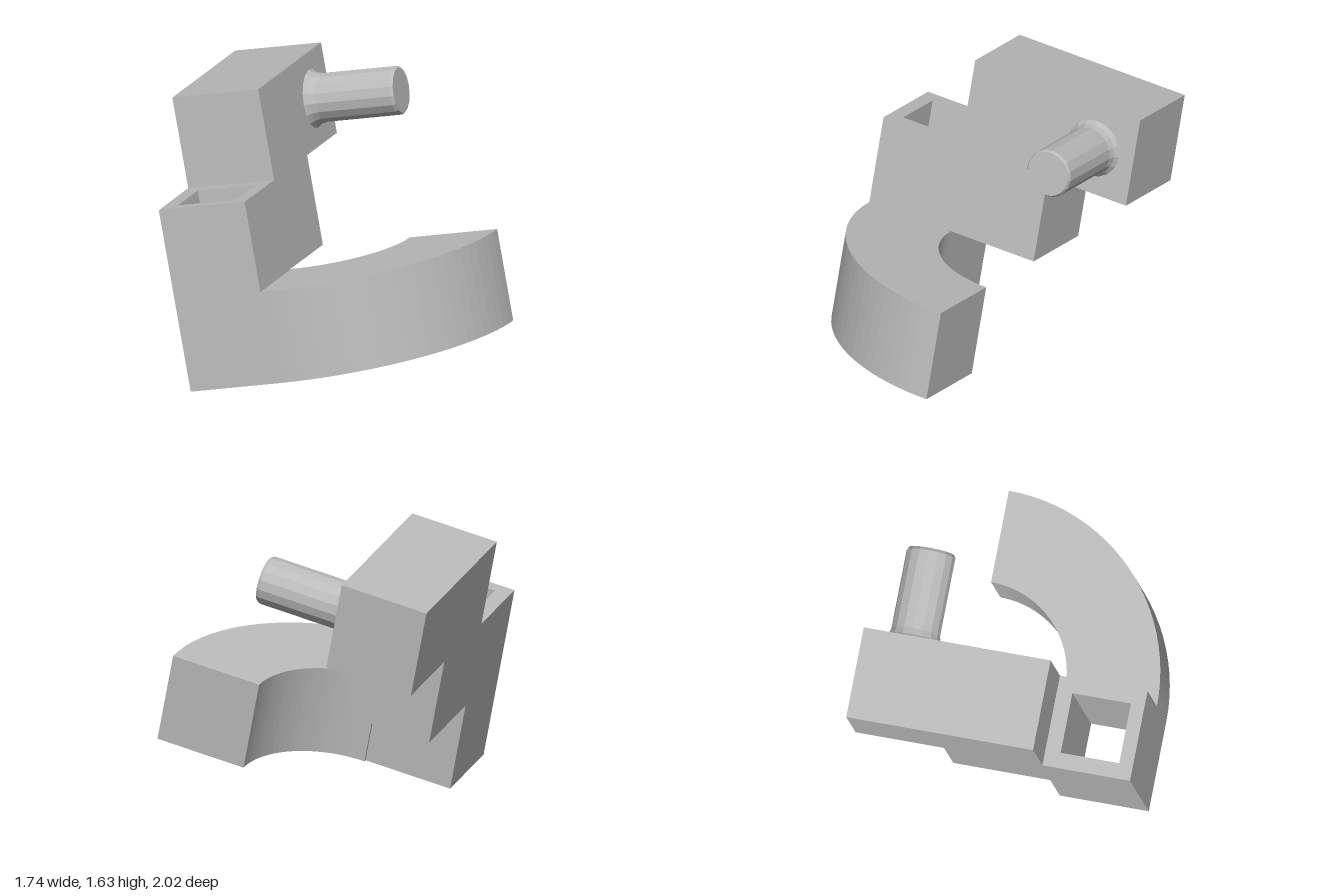
import * as THREE from 'three';

export function createModel() {
  const grey = new THREE.MeshStandardMaterial({ color: 0xbbbbbb, flatShading: true });
  grey.name = 'grey plastic';

  const model = new THREE.Group();
  model.name = 'steppedBracket';

  // Everything is built upright in a local frame (x right, y up, z out), then tilted
  const body = new THREE.Group();
  body.name = 'body';
  model.add(body);

  const add = (name, geometry) => {
    const mesh = new THREE.Mesh(geometry, grey);
    mesh.name = name;
    body.add(mesh);
    return mesh;
  };
  const block = (name, x0, x1, y0, y1, z0, z1) =>
    add(name, new THREE.BoxGeometry(x1 - x0, y1 - y0, z1 - z0))
      .position.set((x0 + x1) / 2, (y0 + y1) / 2, (z0 + z1) / 2);
  // Plan shapes use y = -z and are extruded upwards
  const raise = (name, shape, height) =>
    add(name, new THREE.ExtrudeGeometry(shape, { depth: height, bevelEnabled: false, curveSegments: 12 })
      .rotateX(-Math.PI / 2));
  const rect = (Type, x0, x1, y0, y1) => {
    const s = new Type();
    s.moveTo(x0, y0).lineTo(x1, y0).lineTo(x1, y1).lineTo(x0, y1).closePath();
    return s;
  };

  const depth = 0.512;

  // Hollow column with a square shaft right through it
  const column = rect(THREE.Shape, 0, 0.505, 0, depth);
  column.holes.push(rect(THREE.Path, 0.078, 0.41, 0.085, 0.425));
  raise('hollowColumn', column, 1.042);

  // Stepped blocks
  block('middleBlock', 0.505, 1.055, 0.528, 1.042, -depth, 0);
  block('upperBeam', 0.497, 1.557, 1.042, 1.562, -depth, 0);

  // Quarter-ring arm sweeping forward from the foot of the column
  const arm = new THREE.Shape();
  arm.absarc(1.043, 0, 1.043, Math.PI, Math.PI * 1.5, false);
  arm.absarc(1.043, 0, 0.522, Math.PI * 1.5, Math.PI, true);
  arm.closePath();
  raise('curvedArm', arm, 0.525);

  // Peg with a small flare at the root and a softened tip
  const profile = [[0.165, 0], [0.147, 0.025], [0.138, 0.06], [0.138, 0.505], [0.128, 0.522], [0, 0.522]]
    .map(([r, h]) => new THREE.Vector2(r, h));
  add('peg', new THREE.LatheGeometry(profile, 16).rotateX(Math.PI / 2)).position.set(1.3, 1.305, 0);

  // Tilt into its resting pose
  const out = new THREE.Vector3(0.475, 0.2, 0.857).normalize();
  const up = out.clone().cross(new THREE.Vector3(0.879, -0.061, -0.473)).normalize();
  const right = up.clone().cross(out);
  body.quaternion.setFromRotationMatrix(new THREE.Matrix4().makeBasis(right, up, out));
  body.position.set(-0.582, 0.134, 0.489);

  return model;
}
